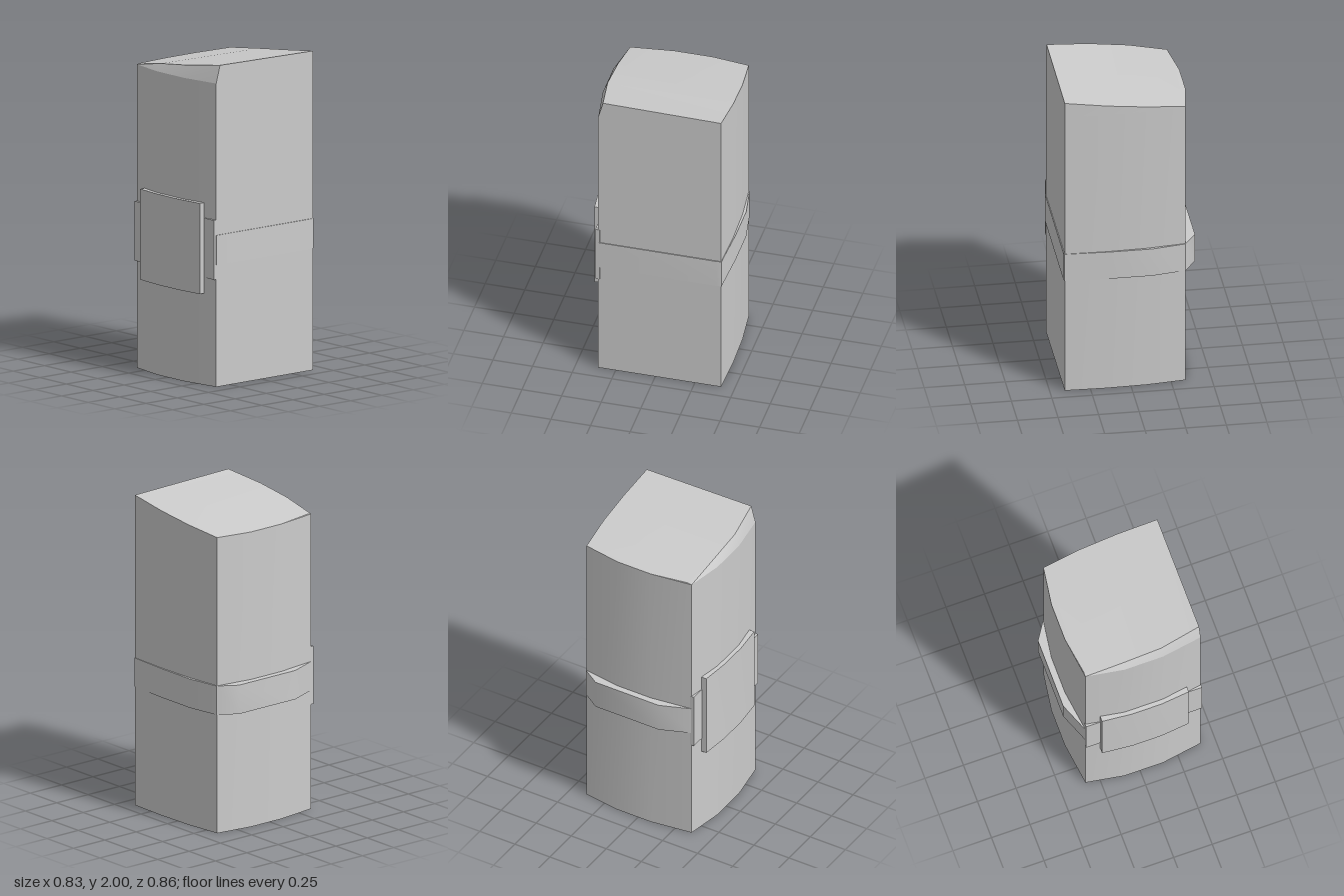
import * as THREE from 'three';
import { toCreasedNormals } from 'three/addons/utils/BufferGeometryUtils.js';

const material = new THREE.MeshStandardMaterial({ color: 0xcccccc, side: THREE.DoubleSide });

// Surface through rows of points; each row has the same number of points
function loft(rows) {
  const n = rows[0].length, index = [];
  for (let r = 0; r < rows.length - 1; r++) {
    for (let i = 0; i < n - 1; i++) {
      const a = r * n + i, b = a + n;
      index.push(a, a + 1, b + 1, a, b + 1, b);
    }
  }
  const geometry = new THREE.BufferGeometry();
  geometry.setAttribute('position', new THREE.Float32BufferAttribute(rows.flat(2), 3));
  geometry.setIndex(index);
  return geometry;
}

// Upright prism from an outline of [x, z] points
function prism(outline, y0, y1) {
  const shape = new THREE.Shape(outline.map(([x, z]) => new THREE.Vector2(x, -z)));
  const geometry = new THREE.ExtrudeGeometry(shape, { depth: y1 - y0, bevelEnabled: false });
  return geometry.rotateX(-Math.PI / 2).translate(0, y0, 0);
}

export function createModel() {
  const model = new THREE.Group();
  const add = (name, geometry) => {
    const mesh = new THREE.Mesh(toCreasedNormals(geometry, 0.6), material);
    mesh.name = name;
    model.add(mesh);
  };
  const wallTop = 1.89;

  // Hollow column, open below, with bowed sides; counter-clockwise from above
  const outline = [
    [-0.34, 0.36], [-0.1, 0.4], [0.15, 0.4], [0.408, 0.36],
    [0.408, -0.415], [0.15, -0.422], [-0.1, -0.415], [-0.34, -0.39],
    [-0.375, -0.15], [-0.375, 0.09], [-0.34, 0.36],
  ];
  add('columnWalls', loft([0, wallTop].map((y) => outline.map(([x, z]) => [x, y, z]))));

  // Sloping lid: sections from the low side to the high side
  const stations = [
    [-0.375, 0.09, -0.15, 1.89], [-0.34, 0.36, -0.39, 1.895], [-0.1, 0.4, -0.415, 1.935],
    [0.15, 0.4, -0.422, 1.965], [0.408, 0.36, -0.415, 2],
  ];
  const sections = stations.map(([x, front, back, top]) => [
    [x, wallTop, front], [x, top, front - 0.03], [x, top - 0.012 * (top > 1.9), back], [x, wallTop, back],
  ]);
  add('slopedLid', loft(sections));

  // Upright end of the lid on the high side
  const [low, high, highBack, lowBack] = sections[4];
  add('lidEnd', loft([[low, lowBack], [high, highBack]]));

  // Band around the sides and back
  add('band', prism([
    [-0.34, 0.362], [0.412, 0.362], [0.414, -0.39], [0.41, -0.418], [0.13, -0.43],
    [-0.13, -0.43], [-0.34, -0.395], [-0.415, -0.28], [-0.415, 0.17],
  ], 0.76, 0.945));

  // Flat plate behind the buckle
  add('backingPlate', prism([[-0.342, 0.35], [-0.342, 0.378], [0.41, 0.378], [0.41, 0.35]].reverse(), 0.67, 1.04));

  // Bowed buckle plate
  add('bucklePlate', prism([
    [-0.25, 0.375], [-0.25, 0.41], [-0.06, 0.428], [0.13, 0.428], [0.312, 0.41], [0.312, 0.375],
  ], 0.57, 1.135));

  return model;
}
